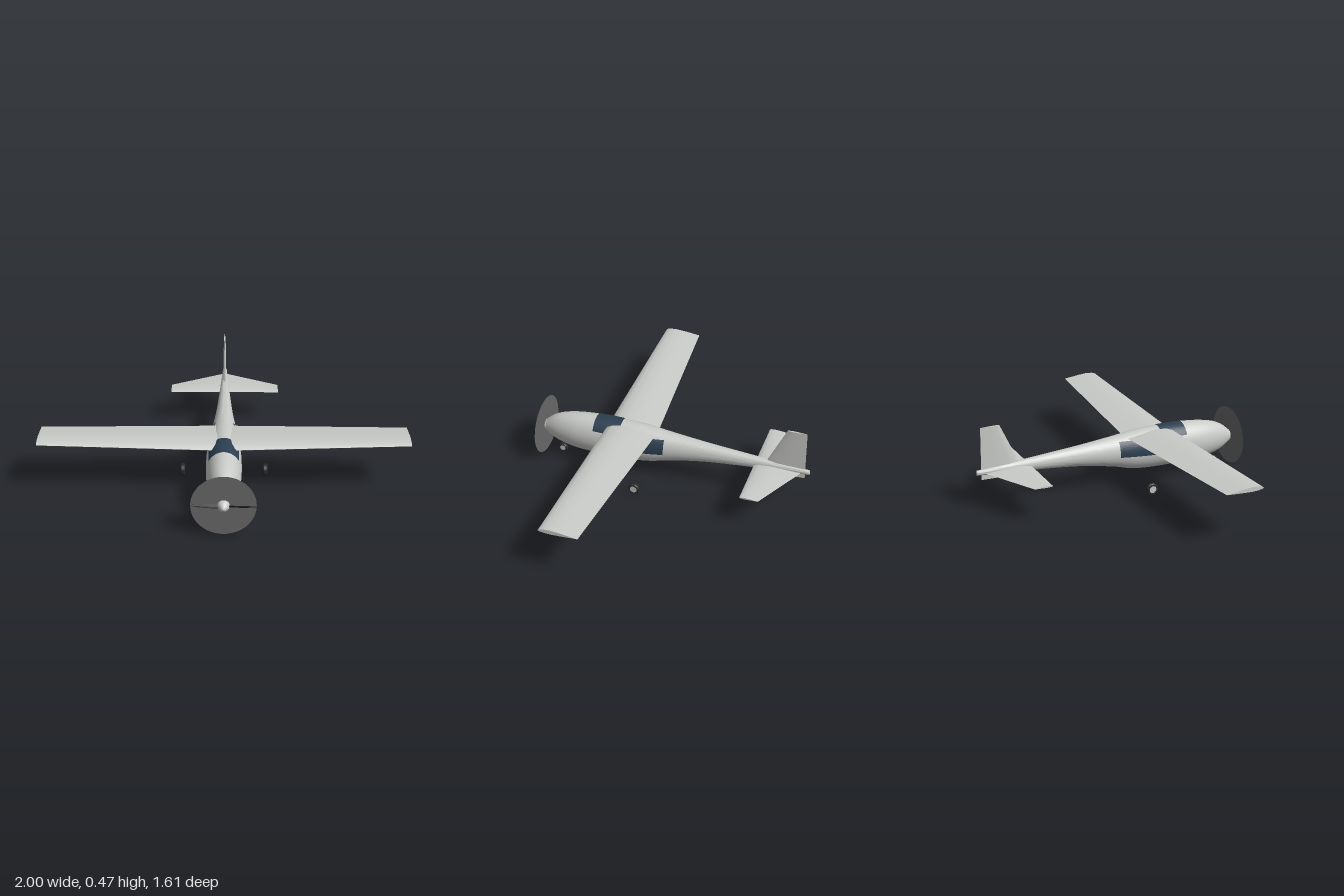
import * as THREE from 'three';
import { toCreasedNormals } from 'three/addons/utils/BufferGeometryUtils.js';

const V = (x, y, z) => new THREE.Vector3(x, y, z);

// Fuselage stations: z, half width, top y, bottom y
const STATIONS = [
  [-0.805, 0.012, 0.230, 0.202],
  [-0.6, 0.023, 0.245, 0.188],
  [-0.4, 0.035, 0.258, 0.172],
  [-0.2, 0.049, 0.272, 0.150],
  [0, 0.070, 0.290, 0.112],
  [0.1, 0.084, 0.301, 0.085],
  [0.2, 0.092, 0.309, 0.072],
  [0.4, 0.096, 0.310, 0.067],
  [0.55, 0.088, 0.298, 0.072],
  [0.65, 0.069, 0.277, 0.088],
  [0.71, 0.050, 0.249, 0.110],
  [0.752, 0.031, 0.213, 0.138],
];

// Smooth (Hermite) reading of one station column at z
function station(z, col) {
  const S = STATIONS, n = S.length;
  let i = 0;
  while (i < n - 2 && z > S[i + 1][0]) i++;
  const slope = (k) => {
    const a = S[Math.max(k - 1, 0)], b = S[Math.min(k + 1, n - 1)];
    return (b[col] - a[col]) / (b[0] - a[0]);
  };
  const h = S[i + 1][0] - S[i][0], t = (z - S[i][0]) / h, t2 = t * t, t3 = t2 * t;
  return S[i][col] * (2 * t3 - 3 * t2 + 1) + slope(i) * h * (t3 - 2 * t2 + t)
    + S[i + 1][col] * (3 * t2 - 2 * t3) + slope(i + 1) * h * (t3 - t2);
}

// Point on the fuselage skin at angle t, pushed out by d
function skin(z, t, d = 0) {
  const top = station(z, 2), bottom = station(z, 3);
  return V((station(z, 1) + d) * Math.cos(t),
    (top + bottom) / 2 + ((top - bottom) / 2 + d) * Math.sin(t), z);
}

// Skin angle at a given height
function angleAt(z, y) {
  const top = station(z, 2), bottom = station(z, 3);
  return Math.asin(THREE.MathUtils.clamp((2 * y - top - bottom) / (top - bottom), -1, 1));
}

// Surface through rings of points; closed rings get end caps and face outward
function loft(rings, closed = true, crease = 0.7) {
  const tris = [], m = rings[0].length;
  for (let i = 0; i < rings.length - 1; i++) {
    for (let j = 0; j < (closed ? m : m - 1); j++) {
      const k = (j + 1) % m;
      const a = rings[i][j], b = rings[i][k], c = rings[i + 1][k], d = rings[i + 1][j];
      tris.push([a, b, c], [a, c, d]);
    }
  }
  if (closed) {
    const cap = (ring, flip) => {
      const mid = ring.reduce((s, p) => s.add(p), V(0, 0, 0)).divideScalar(m);
      ring.forEach((p, j) => {
        const q = ring[(j + 1) % m];
        tris.push(flip ? [mid, q, p] : [mid, p, q]);
      });
    };
    cap(rings[0], true);
    cap(rings[rings.length - 1], false);
    const volume = tris.reduce((s, [a, b, c]) => s + a.dot(b.clone().cross(c)), 0);
    if (volume < 0) tris.forEach((t) => t.reverse());
  }
  const geo = new THREE.BufferGeometry().setFromPoints(tris.flat());
  return toCreasedNormals(geo, crease);
}

// Aerofoil outline: chord fraction from the leading edge, height in thicknesses
const AEROFOIL = [[1, 0], [0.8, 0.2], [0.55, 0.46], [0.32, 0.6], [0.14, 0.5], [0.04, 0.28],
  [0, 0], [0.04, -0.2], [0.14, -0.33], [0.32, -0.4], [0.6, -0.26]];

const wingRing = (x, y, lead, trail, thick) =>
  AEROFOIL.map(([c, h]) => V(x, y + h * thick, lead + (trail - lead) * c));

// Symmetrical upright section for the fin
const finRing = (y, lead, trail, thick) => {
  const half = [[0.05, 0.25], [0.25, 0.5], [0.6, 0.35]];
  const outline = [[0, 0], ...half, [1, 0.04], [1, -0.04],
    ...half.slice().reverse().map(([c, h]) => [c, -h])];
  return outline.map(([c, h]) => V(h * thick, y, lead + (trail - lead) * c));
};

export function createModel() {
  const model = new THREE.Group();
  const material = (name, color, side = THREE.FrontSide) => {
    const m = new THREE.MeshStandardMaterial({ color, side });
    m.name = name;
    return m;
  };
  const paint = material('light grey paint', 0xc9cbc8);
  const glass = material('dark blue glass', 0x2c3e50, THREE.DoubleSide);
  const discGrey = material('propeller disc grey', 0x686868, THREE.DoubleSide);
  const rubber = material('dark rubber', 0x2a2a2a);
  const hubGrey = material('hub grey', 0xc0c0c0);

  const add = (name, geo, mat, parent = model) => {
    const mesh = new THREE.Mesh(geo, mat);
    mesh.name = name;
    parent.add(mesh);
    return mesh;
  };

  // Fuselage
  const rings = [];
  for (let i = 0; i <= 64; i++) {
    const z = THREE.MathUtils.lerp(-0.805, 0.752, i / 64);
    rings.push(Array.from({ length: 40 }, (_, j) => skin(z, j / 40 * Math.PI * 2)));
  }
  add('fuselage', loft(rings), paint);

  // Glass laid just over the skin
  const pane = (name, z0, z1, range) => {
    const rows = [];
    for (let i = 0; i <= 12; i++) {
      const z = THREE.MathUtils.lerp(z0, z1, i / 12);
      const [t0, t1] = range(z);
      rows.push(Array.from({ length: 25 }, (_, j) =>
        skin(z, THREE.MathUtils.lerp(t0, t1, j / 24), 0.002)));
    }
    add(name, loft(rows, false), glass);
  };
  pane('windscreen', 0.28, 0.436, (z) => {
    const t = angleAt(z, 0.256);
    return [t, Math.PI - t];
  });
  const sill = (z) => 0.186 - 0.05 * z;
  const sideRange = (z) => [angleAt(z, sill(z)), angleAt(z, 0.27)];
  pane('leftCabinWindow', 0.018, 0.285, sideRange);
  pane('rightCabinWindow', 0.018, 0.285, (z) => sideRange(z).map((t) => Math.PI - t));

  // Wings and tailplane, one half per side
  for (const [side, s] of [['left', 1], ['right', -1]]) {
    add(side + 'Wing', loft([
      wingRing(0, 0.279, 0.362, 0.072, 0.04),
      wingRing(s * 0.5, 0.2935, 0.362, 0.109, 0.033),
      wingRing(s, 0.308, 0.362, 0.146, 0.026),
    ]), paint);
    add(side + 'Tailplane', loft([
      wingRing(0, 0.21, -0.497, -0.765, 0.02),
      wingRing(s * 0.32, 0.21, -0.497, -0.6, 0.01),
    ]), paint);
  }

  // Fin, reaching just under the tail
  add('fin', loft([
    finRing(0.172, -0.53, -0.78, 0.02),
    finRing(0.47, -0.667, -0.775, 0.011),
  ]), paint);

  // Propeller with swept disc and spinner
  const propeller = new THREE.Group();
  propeller.name = 'propeller';
  propeller.position.set(0, 0.177, 0);
  model.add(propeller);
  add('propellerDisc', new THREE.CircleGeometry(0.169, 64), discGrey, propeller).position.z = 0.757;
  for (const s of [1, -1]) {
    const blade = add(s > 0 ? 'leftBlade' : 'rightBlade',
      loft([[0.015, 0.01], [0.06, 0.011], [0.12, 0.009], [0.168, 0.003]].map(([r, w]) =>
        Array.from({ length: 10 }, (_, j) => {
          const t = j / 10 * Math.PI * 2;
          return V(s * r, Math.cos(t) * w, Math.sin(t) * 0.0025);
        })), true), rubber, propeller);
    blade.position.z = 0.765;
    blade.rotation.set(s * 0.6, 0, -0.03);
  }
  const spinnerProfile = [[0.034, 0.74], [0.032, 0.76], [0.026, 0.776], [0.018, 0.788],
    [0.009, 0.797], [0, 0.8]].map(([r, z]) => new THREE.Vector2(r, z));
  add('spinner', new THREE.LatheGeometry(spinnerProfile, 32), paint, propeller).rotation.x = Math.PI / 2;

  // Wheels with rounded tyres and plain hubs
  const wheel = (name, x, y, z, r, w) => {
    const group = new THREE.Group();
    group.name = name;
    group.position.set(x, y, z);
    group.rotation.z = Math.PI / 2;
    const h = w / 2;
    const profile = [[r * 0.6, -h], [r * 0.88, -h], [r, -h * 0.6], [r, h * 0.6],
      [r * 0.88, h], [r * 0.6, h]].map((p) => new THREE.Vector2(...p));
    add('tyre', toCreasedNormals(new THREE.LatheGeometry(profile, 32), 0.6), rubber, group);
    add('hub', new THREE.CylinderGeometry(r * 0.62, r * 0.62, w * 0.96, 32), hubGrey, group);
    model.add(group);
  };
  wheel('noseWheel', 0, 0.032, 0.66, 0.028, 0.022);
  wheel('leftMainWheel', 0.23, 0.036, 0.135, 0.034, 0.024);
  wheel('rightMainWheel', -0.23, 0.036, 0.135, 0.034, 0.024);

  return model;
}
